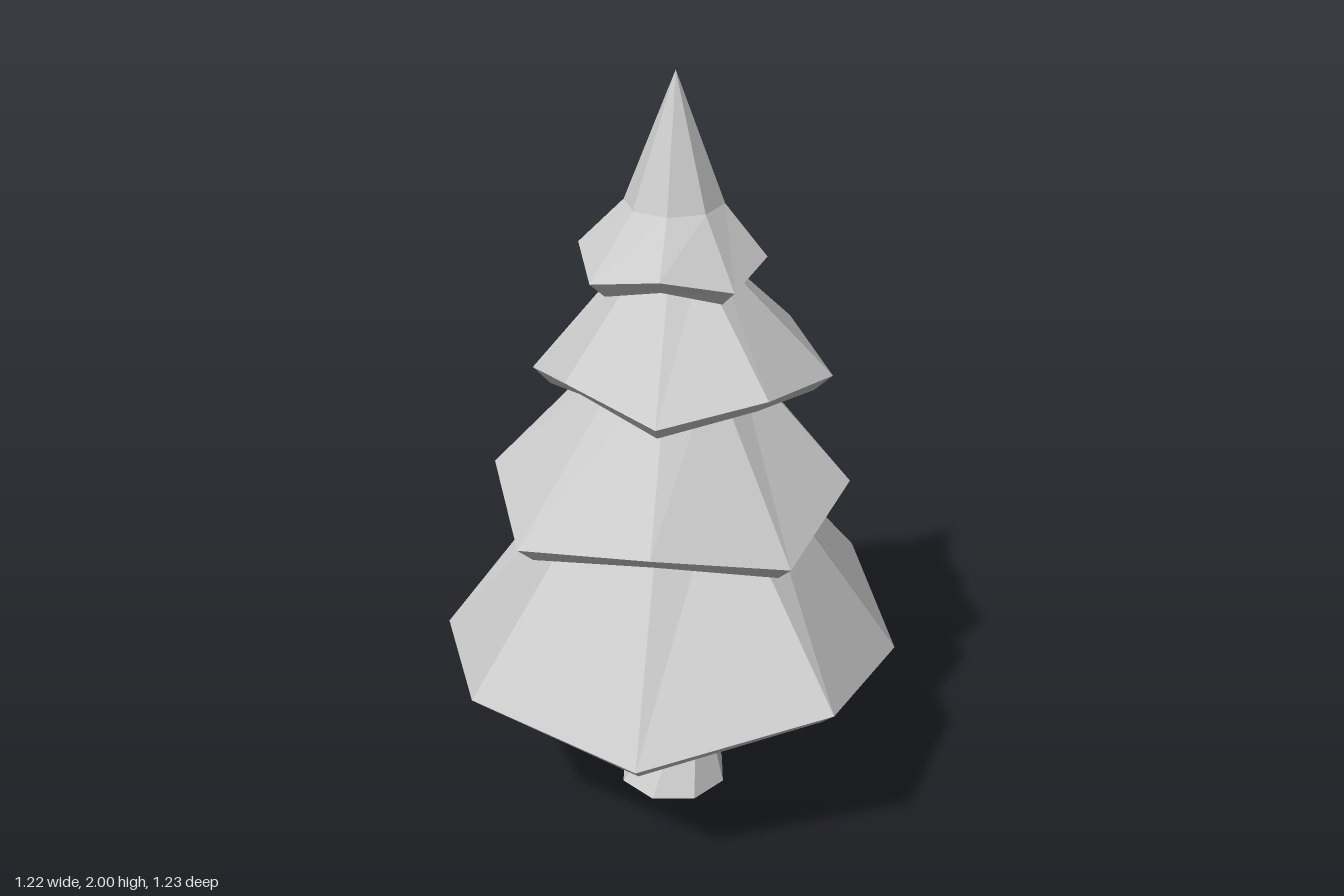
import * as THREE from 'three';

const SIDES = 8;

// Skin a stack of eight-cornered rings with flat faces
function loft(name, rings) {
  const pos = [];
  const tri = (...pts) => pts.forEach((p) => pos.push(...p));
  for (let j = 0; j < rings.length - 1; j++) {
    for (let i = 0; i < SIDES; i++) {
      const k = (i + 1) % SIDES;
      const a = rings[j][i], b = rings[j][k], c = rings[j + 1][k], d = rings[j + 1][i];
      tri(a, d, b);
      tri(b, d, c);
    }
  }
  const geo = new THREE.BufferGeometry();
  geo.setAttribute('position', new THREE.Float32BufferAttribute(pos, 3));
  geo.computeVertexNormals();
  const mat = new THREE.MeshStandardMaterial({ color: 0xcccccc, flatShading: true, side: THREE.DoubleSide });
  const mesh = new THREE.Mesh(geo, mat);
  mesh.name = name;
  return mesh;
}

// Regular ring: radius, height, centre and turn
function ring(r, y, cx = 0, cz = 0, turn = 0) {
  return Array.from({ length: SIDES }, (_, i) => {
    const a = (i / SIDES) * Math.PI * 2 + turn;
    return [cx + r * Math.cos(a), y, cz + r * Math.sin(a)];
  });
}

// Move every corner of a rim towards the axis and down
const inset = (rim, dr, dy) => rim.map(([x, y, z]) => {
  const r = Math.hypot(x, z), s = (r - dr) / r;
  return [x * s, y - dy, z * s];
});

// Each tier: rim corners from +x round through +z, then the rings above it
// [radius, height, centre x] outside and inside
const tiers = [
  {
    name: 'bottomBranches',
    rim: [[0.605, 0.465, 0], [0.47, 0.545, 0.455], [0.005, 0.44, 0.61], [-0.435, 0.5, 0.45],
      [-0.61, 0.44, 0], [-0.44, 0.545, -0.43], [0.005, 0.465, -0.62], [0.465, 0.505, -0.47]],
    outer: [[0.2, 1.03, 0.01]],
    inner: [[0.15, 0.99, 0.01]],
  },
  {
    name: 'lowerMiddleBranches',
    rim: [[0.465, 0.955, 0], [0.345, 0.875, 0.335], [0.02, 0.945, 0.46], [-0.33, 0.875, 0.335],
      [-0.46, 0.945, 0], [-0.33, 0.875, -0.325], [-0.015, 0.955, -0.46], [0.33, 0.875, -0.335]],
    outer: [[0.15, 1.3, 0.015]],
    inner: [[0.1, 1.26, 0.015]],
  },
  {
    name: 'upperMiddleBranches',
    rim: [[0.41, 1.245, 0], [0.275, 1.29, 0.27], [0.02, 1.245, 0.37], [-0.22, 1.29, 0.235],
      [-0.35, 1.22, 0], [-0.24, 1.29, -0.245], [0, 1.22, -0.375], [0.28, 1.29, -0.265]],
    outer: [[0.1, 1.55, 0.015]],
    inner: [[0.06, 1.51, 0.015]],
  },
  {
    name: 'topBranches',
    rim: [[0.24, 1.55, 0], [0.18, 1.52, 0.175], [0.01, 1.56, 0.235], [-0.165, 1.525, 0.18],
      [-0.225, 1.565, 0], [-0.18, 1.53, -0.18], [0.01, 1.555, -0.235], [0.19, 1.52, -0.175]],
    outer: [[0.123, 1.68, 0.012], [0, 2, 0.015]],
    inner: [[0.08, 1.65, 0.012], [0, 1.85, 0.015]],
  },
];

export function createModel() {
  const tree = new THREE.Group();
  tree.name = 'pineTree';

  // Trunk with a flared foot, slightly off centre
  const profile = [[0, 0, 0.01, -0.01], [0.15, 0, 0.01, -0.01], [0.104, 0.1, 0.03, -0.015],
    [0.083, 0.28, 0.03, -0.015], [0.078, 0.45, 0.02, -0.012], [0.06, 0.95, 0.015, 0], [0, 0.95, 0.015, 0]];
  tree.add(loft('trunk', profile.map(([r, y, cx, cz]) => ring(r, y, cx, cz, 0.25))));

  // Hollow skirts of branches: inside surface, bevelled lip, outside surface
  for (const { name, rim, outer, inner } of tiers) {
    const toRing = ([r, y, cx]) => ring(r, y, cx);
    tree.add(loft(name, [
      ...inner.map(toRing).reverse(),
      inset(rim, 0.045, 0.042),
      rim,
      ...outer.map(toRing),
    ]));
  }
  return tree;
}
